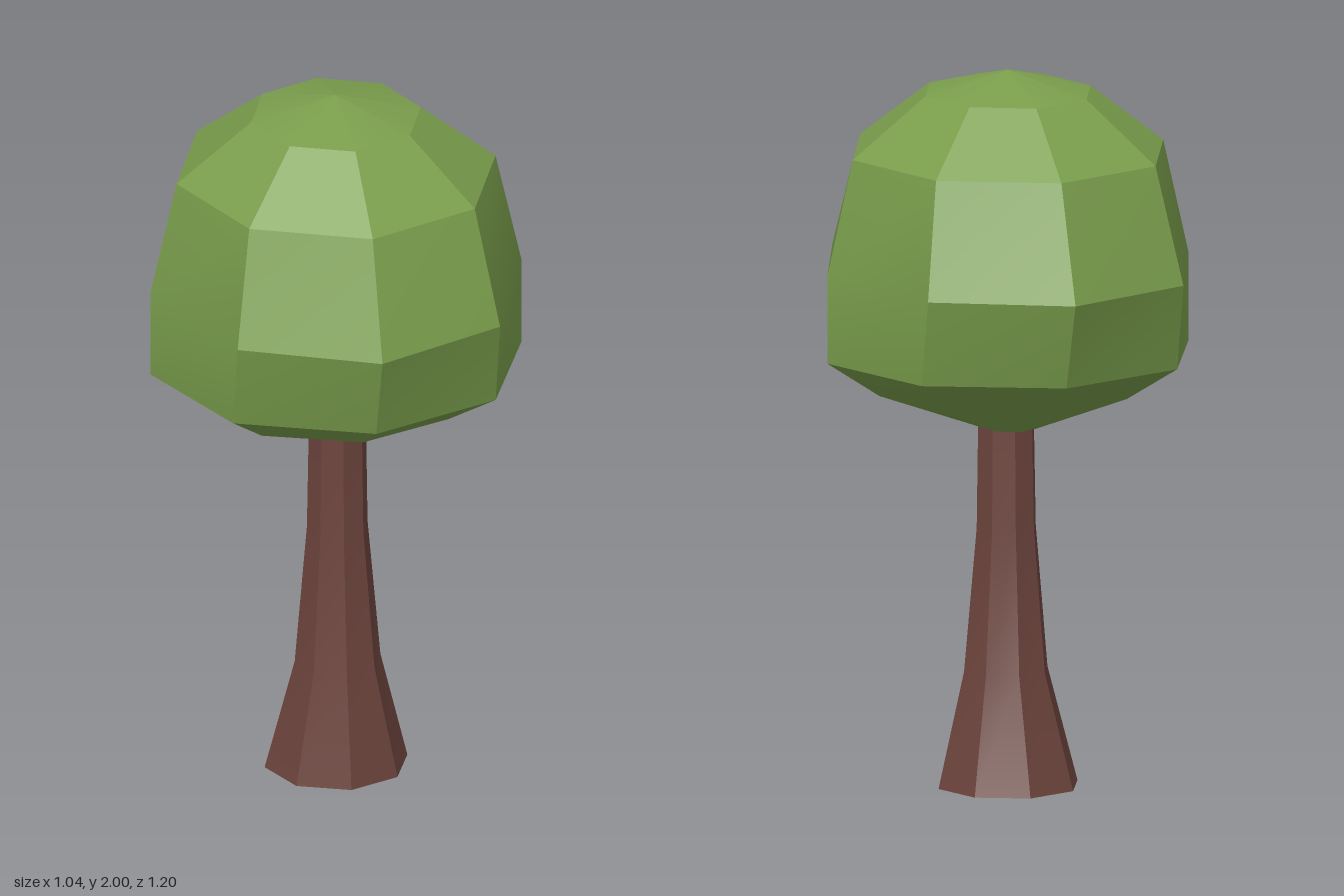
import * as THREE from 'three';
import { toCreasedNormals } from 'three/addons/utils/BufferGeometryUtils.js';

const SIDES = 8;

// Lofts eight-sided rings [y, x radius, z radius, z centre] from bottom to top.
function loft(rings) {
  const points = rings.map(([y, rx, rz, cz = 0]) =>
    Array.from({ length: SIDES }, (_, i) => {
      const a = (i / SIDES) * Math.PI * 2;
      return [rx * Math.sin(a), y, cz + rz * Math.cos(a)];
    })
  );
  const positions = [];
  for (let r = 0; r < rings.length - 1; r++) {
    for (let i = 0; i < SIDES; i++) {
      const j = (i + 1) % SIDES;
      const [a, b, c, d] = [points[r][i], points[r][j], points[r + 1][j], points[r + 1][i]];
      // A ring of zero radius closes the shape with single triangles
      if (rings[r][1] > 0) positions.push(...a, ...b, ...c);
      if (rings[r + 1][1] > 0) positions.push(...a, ...c, ...d);
    }
  }
  // Lower half of a pole fan needs its own apex triangle, already covered above
  const geometry = new THREE.BufferGeometry();
  geometry.setAttribute('position', new THREE.Float32BufferAttribute(positions, 3));
  return toCreasedNormals(geometry, THREE.MathUtils.degToRad(20));
}

export function createModel() {
  const bark = new THREE.MeshStandardMaterial({ color: 0x6d443d });
  bark.name = 'bark brown';
  const leaf = new THREE.MeshStandardMaterial({ color: 0x7a9e4c });
  leaf.name = 'leaf green';

  // Flared trunk, leaning slightly forward
  const trunk = new THREE.Mesh(
    loft([
      [0, 0, 0],
      [0, 0.2, 0.2],
      [0.32, 0.12, 0.12, 0.02],
      [0.72, 0.085, 0.085, 0.016],
      [1.03, 0.08, 0.08, 0.018],
    ]),
    bark
  );
  trunk.name = 'trunk';

  // Faceted crown, longer from front to back
  const crown = new THREE.Mesh(
    loft([
      [1.0, 0, 0],
      [1.005, 0.08, 0.1],
      [1.11, 0.37, 0.35],
      [1.21, 0.52, 0.52],
      [1.455, 0.52, 0.6],
      [1.775, 0.447, 0.475],
      [1.94, 0.238, 0.252],
      [2, 0, 0],
    ]),
    leaf
  );
  crown.name = 'crown';

  const tree = new THREE.Group();
  tree.name = 'tree';
  tree.add(trunk, crown);
  return tree;
}
